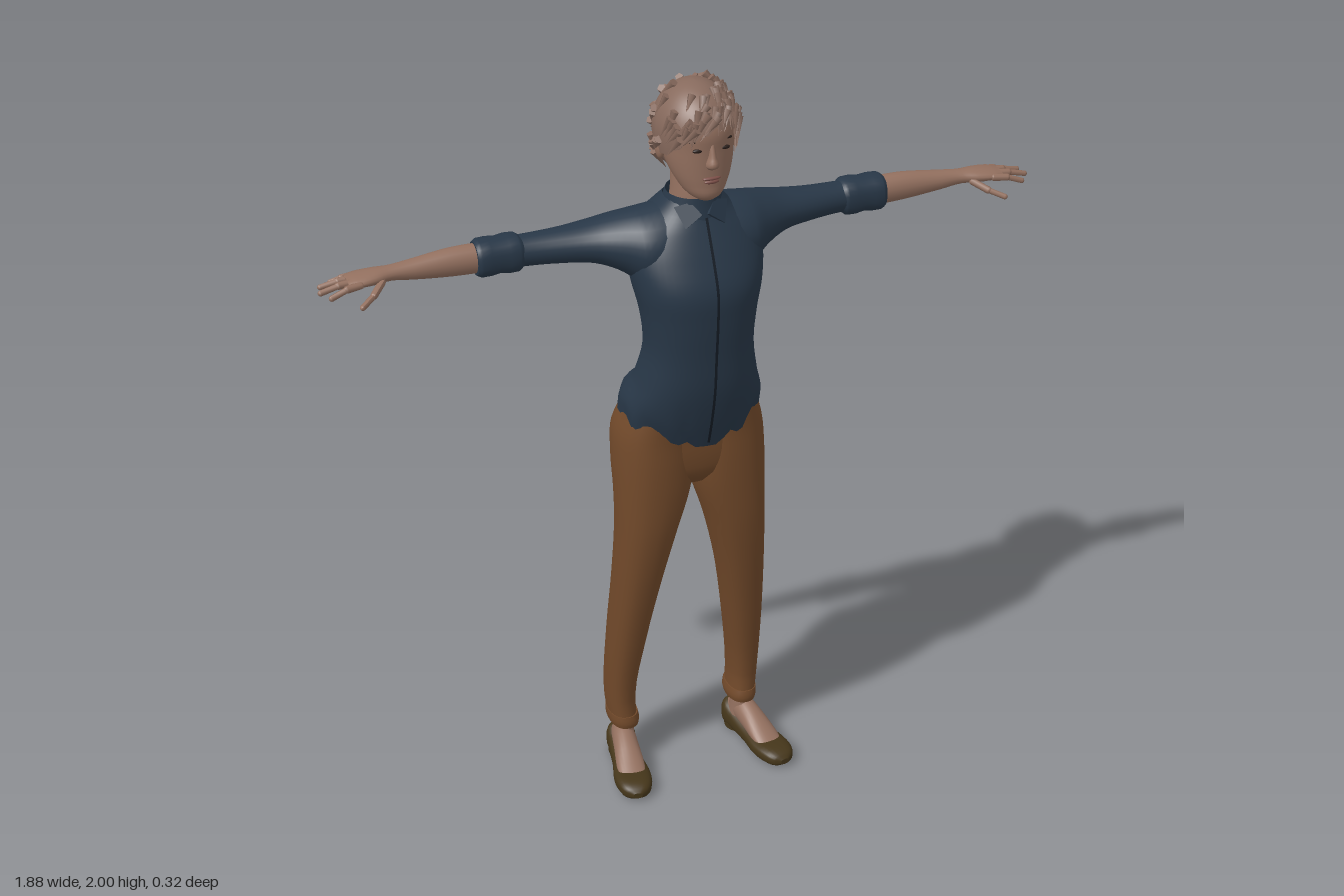
import * as THREE from 'three';
import { mergeGeometries } from 'three/addons/utils/BufferGeometryUtils.js';

const material = (name, color, side = THREE.FrontSide) => {
  const m = new THREE.MeshStandardMaterial({ color, side });
  m.name = name;
  return m;
};

// Smooth sampler through sections [w, u0, u1, v0, v1]
function sampler(sections) {
  const times = new Float32Array(sections.map(s => s[0]));
  const values = new Float32Array(sections.flatMap(s => s.slice(1)));
  const spline = new THREE.CubicInterpolant(times, values, 4);
  return w => Array.from(spline.evaluate(w));
}

// Lofted superellipse body; w runs along the chosen axis.
// axis y: u = z, v = x.  axis x: u = y, v = z.  axis z: u = x, v = y.
function loft(axis, sections, { n = 24, sub = 4, e = 2, open = false } = {}) {
  const place = { y: (w, u, v) => [v, w, u], x: (w, u, v) => [w, u, v], z: (w, u, v) => [u, v, w] }[axis];
  const at = sampler(sections);
  const pos = [], index = [];
  const pw = c => Math.sign(c) * Math.abs(c) ** (2 / e);
  const ring = w => {
    const [u0, u1, v0, v1] = at(w);
    for (let j = 0; j < n; j++) {
      const a = j / n * Math.PI * 2;
      pos.push(...place(w, (u0 + u1) / 2 + (u1 - u0) / 2 * pw(Math.cos(a)),
        (v0 + v1) / 2 + (v1 - v0) / 2 * pw(Math.sin(a))));
    }
    return [(u0 + u1) / 2, (v0 + v1) / 2];
  };
  const ws = [];
  sections.forEach((s, i) => {
    if (i) for (let k = 1; k <= sub; k++) ws.push(THREE.MathUtils.lerp(sections[i - 1][0], s[0], k / sub));
    else ws.push(s[0]);
  });
  ws.forEach((w, i) => {
    ring(w);
    if (!i) return;
    for (let j = 0; j < n; j++) {
      const a = (i - 1) * n + j, b = (i - 1) * n + (j + 1) % n;
      index.push(a, b, b + n, a, b + n, a + n);
    }
  });
  if (!open) [ws[0], ws[ws.length - 1]].forEach((w, end) => {
    const base = pos.length / 3, c = ring(w);
    pos.push(...place(w, ...c));
    for (let j = 0; j < n; j++) {
      const a = base + j, b = base + (j + 1) % n;
      index.push(base + n, end ? a : b, end ? b : a);
    }
  });
  const g = new THREE.BufferGeometry();
  g.setAttribute('position', new THREE.Float32BufferAttribute(pos, 3));
  g.setIndex(index);
  g.computeVertexNormals();
  return g;
}

// Move every vertex by a rule
function warp(g, rule) {
  const p = g.attributes.position, v = new THREE.Vector3();
  for (let i = 0; i < p.count; i++) {
    rule(v.fromBufferAttribute(p, i));
    p.setXYZ(i, v.x, v.y, v.z);
  }
  g.computeVertexNormals();
  return g;
}

// Mirror across x with corrected face order
function mirrored(g) {
  const m = g.clone().scale(-1, 1, 1);
  if (!m.index) m.setIndex([...Array(m.attributes.position.count).keys()]);
  const ix = m.index.array;
  for (let i = 0; i < ix.length; i += 3) [ix[i], ix[i + 1]] = [ix[i + 1], ix[i]];
  m.computeVertexNormals();
  return m;
}

// Tapered or even rod between two points
function rod(a, b, r) {
  const from = new THREE.Vector3(...a), d = new THREE.Vector3(...b).sub(from);
  const g = new THREE.CapsuleGeometry(r, d.length(), 4, 8);
  g.applyQuaternion(new THREE.Quaternion().setFromUnitVectors(new THREE.Vector3(0, 1, 0), d.clone().normalize()));
  return g.translate(...from.addScaledVector(d, 0.5).toArray());
}

const ball = (x, y, z, sx, sy, sz) => new THREE.SphereGeometry(1, 14, 10).scale(sx, sy, sz).translate(x, y, z);

export function createModel() {
  const skin = material('skin', 0x93705f);
  const hair = material('hair', 0x876a5d, THREE.DoubleSide);
  const shirt = material('navy shirt', 0x283747, THREE.DoubleSide);
  const seam = material('dark seam', 0x141b24, THREE.DoubleSide);
  const cloth = material('brown trousers', 0x71492a);
  const shoe = material('olive shoe', 0x45361a);
  const lip = material('lips', 0x7c4f48);
  const dark = material('eye dark', 0x2a1f1b);
  const model = new THREE.Group();
  model.name = 'standingPerson';
  const add = (name, g, m) => {
    const mesh = new THREE.Mesh(g, m);
    mesh.name = name;
    model.add(mesh);
  };
  const pair = (name, g, m) => { add('left' + name, g, m); add('right' + name, mirrored(g), m); };

  // Shirt body with an uneven hem, lower at the front
  const torso = [[1.02, -.155, .09, -.185, .185], [1.1, -.15, .115, -.182, .182], [1.2, -.105, .138, -.158, .158],
    [1.3, -.075, .147, -.14, .14], [1.4, -.085, .156, -.148, .148], [1.48, -.11, .157, -.165, .165],
    [1.56, -.122, .125, -.172, .172], [1.62, -.12, .095, -.148, .148], [1.66, -.1, .075, -.1, .1],
    [1.69, -.075, .065, -.072, .072]];
  add('shirtBody', warp(loft('y', torso, { n: 56, e: 2.3, open: true }), v => {
    if (v.y >= 1.2) return;
    const a = Math.atan2(v.x, v.z), s = Math.abs(Math.sin(a));
    const hem = 1.022 + .036 * (1 - Math.cos(a)) + .03 * s * s + .014 * s * Math.sin(11 * a + 1) + .008 * s * Math.sin(19 * a);
    v.y = 1.2 - (1.2 - v.y) / .18 * (1.2 - hem);
  }), shirt);

  // Front closing line
  const front = sampler(torso);
  add('shirtPlacket', warp(new THREE.PlaneGeometry(.007, .62, 1, 40).translate(.005, 1.345, 0),
    v => { v.z = front(v.y)[1] + .002; }), seam);

  // Collar stand and flaps
  add('collarStand', loft('y', [[1.65, -.09, .08, -.09, .09], [1.68, -.08, .075, -.076, .076],
    [1.705, -.072, .072, -.068, .068]], { open: true }), shirt);
  const flap = new THREE.ExtrudeGeometry(new THREE.Shape([[0, 0], [.04, -.035], [.07, .018], [.03, .03]]
    .map(p => new THREE.Vector2(...p))), { depth: .008, bevelEnabled: false });
  pair('CollarFlap', flap.rotateX(-.45).rotateY(.4).translate(.006, 1.665, .08), shirt);

  // Sleeves and rolled cuffs
  pair('Sleeve', loft('x', [[.06, 1.46, 1.675, -.11, .09], [.14, 1.475, 1.66, -.12, .085], [.19, 1.505, 1.647, -.122, .05],
    [.25, 1.527, 1.632, -.12, .015], [.33, 1.535, 1.622, -.112, -.01], [.43, 1.538, 1.617, -.11, -.028],
    [.53, 1.538, 1.617, -.108, -.03]]), shirt);
  pair('SleeveCuff', loft('x', [[.425, 1.54, 1.615, -.108, -.03], [.437, 1.529, 1.624, -.116, -.024],
    [.485, 1.532, 1.622, -.114, -.026], [.532, 1.529, 1.624, -.114, -.024], [.543, 1.535, 1.618, -.107, -.031]],
  { e: 2.4, sub: 2 }), shirt);

  // Forearms, palms and spread fingers
  pair('Forearm', loft('x', [[.5, 1.538, 1.614, -.104, -.036], [.6, 1.541, 1.614, -.103, -.038], [.7, 1.552, 1.604, -.093, -.04],
    [.76, 1.562, 1.599, -.086, -.038], [.8, 1.562, 1.598, -.094, -.026], [.845, 1.565, 1.593, -.098, -.02],
    [.868, 1.57, 1.588, -.09, -.026]], { n: 18 }), skin);
  const fingers = [
    [[.84, 1.578, -.027], [.875, 1.576, -.02], [.915, 1.562, -.015]],
    [[.85, 1.58, -.047], [.89, 1.578, -.043], [.935, 1.568, -.04]],
    [[.85, 1.58, -.068], [.885, 1.578, -.068], [.928, 1.569, -.07]],
    [[.835, 1.578, -.088], [.87, 1.574, -.09], [.898, 1.565, -.094]],
    [[.785, 1.572, -.035], [.815, 1.556, -.004], [.85, 1.543, .022]]];
  pair('Fingers', mergeGeometries(fingers.flatMap(([a, b, c]) => [rod(a, b, .0095), rod(b, c, .0075)])), skin);

  // Trousers: hips, legs and turned hems
  add('trouserHips', loft('y', [[.885, -.07, .03, -.05, .05], [.92, -.11, .055, -.14, .14], [.97, -.138, .066, -.195, .195],
    [1.04, -.147, .07, -.192, .192], [1.13, -.12, .085, -.165, .165]], { n: 32, e: 2.4 }), cloth);
  pair('TrouserLeg', loft('y', [[.12, -.146, -.03, .135, .207], [.2, -.15, -.032, .139, .215], [.4, -.132, .003, .115, .215],
    [.6, -.113, .042, .08, .207], [.75, -.11, .064, .043, .202], [.87, -.124, .071, .006, .202],
    [.96, -.152, .073, -.008, .202], [1.04, -.16, .073, -.008, .195], [1.12, -.13, .08, .01, .165]], { e: 2.3 }), cloth);
  pair('TrouserHem', loft('y', [[.115, -.145, -.028, .133, .208], [.13, -.151, -.025, .13, .212], [.15, -.149, -.029, .134, .212]],
    { sub: 2, e: 2.3 }), cloth);

  // Ankles, feet and flat shoes with toes turned out
  pair('Ankle', loft('y', [[.03, -.125, -.04, .14, .196], [.09, -.118, -.042, .145, .192], [.2, -.125, -.05, .148, .198]]), skin);
  const turned = g => g.rotateY(.17).translate(.188, 0, 0);
  pair('Foot', turned(loft('z', [[-.12, -.025, .025, .03, .085], [-.07, -.031, .031, .03, .108], [-.02, -.034, .034, .025, .096],
    [.04, -.038, .038, .02, .066], [.085, -.035, .035, .015, .042]])), skin);
  pair('Shoe', turned(loft('z', [[-.142, -.018, .018, .012, .066], [-.13, -.033, .033, .002, .078], [-.08, -.039, .039, .001, .064],
    [0, -.042, .042, .001, .05], [.06, -.05, .05, .001, .046], [.11, -.044, .044, .002, .046],
    [.135, -.03, .03, .005, .038], [.146, -.012, .012, .012, .028]], { e: 2.8 })), shoe);
  pair('ShoeHeel', turned(new THREE.CylinderGeometry(.037, .036, .014, 20).scale(1, 1, 1.15).translate(0, .007, -.096)), shoe);

  // Neck, head and face
  add('neck', loft('y', [[1.62, -.085, .05, -.07, .07], [1.69, -.062, .064, -.058, .058], [1.75, -.06, .056, -.055, .055],
    [1.82, -.07, .05, -.055, .055]]), skin);
  add('head', loft('y', [[1.716, .05, .108, -.024, .024], [1.728, .015, .122, -.042, .042], [1.76, -.02, .126, -.064, .064],
    [1.8, -.06, .128, -.08, .08], [1.85, -.085, .13, -.088, .088], [1.9, -.09, .132, -.09, .09],
    [1.94, -.08, .112, -.08, .08], [1.97, -.04, .07, -.04, .04]], { n: 32, e: 2.1 }), skin);
  add('nose', loft('y', [[1.805, .1, .132, -.011, .011], [1.815, .1, .148, -.017, .017], [1.84, .1, .143, -.011, .011],
    [1.875, .1, .131, -.008, .008]], { n: 14 }), skin);
  add('upperLip', ball(0, 1.781, .124, .024, .005, .008), lip);
  add('lowerLip', ball(0, 1.772, .123, .02, .006, .008), lip);
  pair('Ear', ball(.09, 1.832, .012, .012, .03, .019), skin);
  pair('Eye', ball(.034, 1.856, .121, .014, .0055, .006), dark);
  pair('Eyebrow', rod([.018, 1.878, .127], [.052, 1.878, .114], .0035), dark);

  // Short hair cap with a higher edge over the face
  let seed = 7;
  const rand = () => (seed = (seed * 16807) % 2147483647) / 2147483647;
  const hairPoint = (a, y) => {
    const t = (y - 1.875) / (y > 1.875 ? .118 : .16), r = Math.sqrt(Math.max(0, 1 - t * t));
    return new THREE.Vector3(Math.sin(a) * .102 * r, y, .012 + Math.cos(a) * (Math.cos(a) > 0 ? .126 : .119) * r);
  };
  const edge = a => 1.908 - .14 * THREE.MathUtils.smoothstep(Math.abs(a), .35, 2.3)
    - (a < 0 ? .028 * Math.sin(Math.min(Math.PI, -a * 2)) : 0) + .007 * Math.sin(a * 17);
  const cap = new THREE.SphereGeometry(1, 48, 18, 0, Math.PI * 2, 0, Math.PI / 2);
  add('hairCap', warp(cap, v => {
    const a = Math.atan2(v.x, v.z), f = Math.acos(THREE.MathUtils.clamp(v.y, -1, 1)) / (Math.PI / 2);
    const low = Math.acos((edge(a) - 1.875) / (edge(a) > 1.875 ? .118 : .16)) * f;
    const c = Math.cos(low);
    v.copy(hairPoint(a, 1.875 + c * (c > 0 ? .118 : .16)));
  }), hair);

  // Loose locks swept down and sideways over the cap
  const locks = [];
  for (let i = 0; i < 150; i++) {
    const a = rand() * Math.PI * 2 - Math.PI, low = edge(a) + .012;
    const y = THREE.MathUtils.lerp(low, 1.978, rand() ** 1.4);
    const p = hairPoint(a, y), q = hairPoint(a - .35 + rand() * .3, y - .035);
    const d = q.sub(p).normalize();
    const g = new THREE.ConeGeometry(.011, .055 + rand() * .025, 5);
    g.applyQuaternion(new THREE.Quaternion().setFromUnitVectors(new THREE.Vector3(0, 1, 0), d));
    locks.push(g.translate(...p.addScaledVector(d, .012).toArray()));
  }
  add('hairLocks', mergeGeometries(locks), hair);

  return model;
}
